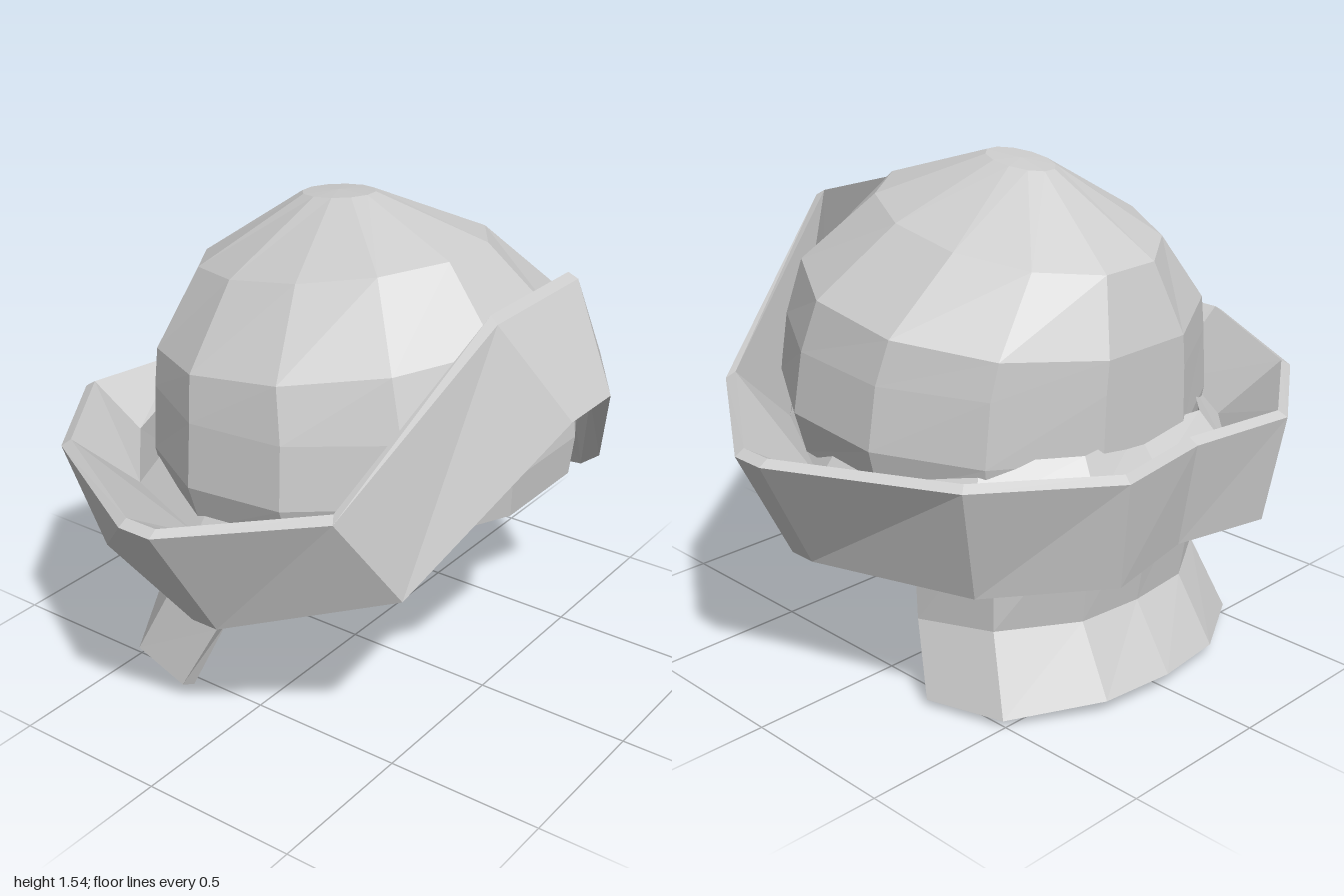
import * as THREE from 'three';

const material = new THREE.MeshStandardMaterial({ color: 0xcccccc, flatShading: true });

// Faceted skin over a grid of points (rows of [x, y, z])
function skin(out, rows, wrapRows, wrapCols) {
  const n = rows.length, m = rows[0].length;
  for (let i = 0; i < (wrapRows ? n : n - 1); i++) {
    for (let j = 0; j < (wrapCols ? m : m - 1); j++) {
      const p = rows[i], q = rows[(i + 1) % n], k = (j + 1) % m;
      out.push(...p[j], ...p[k], ...q[k], ...p[j], ...q[k], ...q[j]);
    }
  }
}

function part(name, positions) {
  const g = new THREE.BufferGeometry();
  g.setAttribute('position', new THREE.Float32BufferAttribute(positions, 3));
  g.computeVertexNormals();
  const mesh = new THREE.Mesh(g, material);
  mesh.name = name;
  return mesh;
}

// Mirror a half row that runs from +x to the centre line
const mirror = (half) => [
  ...half,
  ...half.filter((p) => p[0] > 0).reverse().map(([x, y, z]) => [-x, y, z]),
];

// Move points toward a vertical axis at z = cz, and by dy in height
const inset = (row, d, dy, cz = 0) => row.map(([x, y, z]) => {
  const r = Math.hypot(x, z - cz), s = (r - d) / r;
  return [x * s, y + dy, cz + (z - cz) * s];
});

// Twelve-sided dome ring, tilted between front and back heights
function domeRing([yFront, yBack, rx, zFront, zBack], shrink = 0) {
  const row = [];
  const k = 1 / Math.cos(Math.PI / 12);
  const mid = (zFront + zBack) / 2;
  const rz = Math.max((zFront - zBack) / 2 - shrink, 0.02);
  const w = Math.max(rx - shrink, 0.02);
  for (let i = 0; i < 12; i++) {
    const a = ((i + 0.5) / 12) * Math.PI * 2;
    const c = Math.cos(a) * k;
    const y = yBack + (yFront - yBack) * (c + 1) / 2;
    row.push([w * k * Math.sin(a), y, mid + rz * c]);
  }
  return row;
}

function buildDome() {
  const rings = [
    [0.74, 0.6, 0.62, 0.67, -0.55],
    [0.86, 0.76, 0.66, 0.68, -0.57],
    [1.04, 0.96, 0.635, 0.66, -0.57],
    [1.23, 1.06, 0.6, 0.6, -0.57],
    [1.43, 1.28, 0.38, 0.4, -0.5],
    [1.54, 1.51, 0.08, 0.06, -0.18],
  ];
  const outer = rings.map((r) => domeRing(r));
  const inner = rings.map((r) => domeRing(r, 0.05).map(([x, y, z]) => [x, y - 0.03, z]));
  const cap = (y) => Array(12).fill([0, y, -0.06]);
  const out = [];
  skin(out, [cap(1.49), ...inner.reverse(), ...outer, cap(1.53)], false, true);
  return part('domeCrown', out);
}

function buildBrim() {
  // Upper and lower outer edges, then the trough floor, front to back
  const top = mirror([
    [0.22, 1.335, 0.635], [0.73, 0.89, 0.46], [1.0, 0.835, 0.05], [1.0, 0.835, -0.06],
    [0.72, 0.825, -0.56], [0.35, 0.82, -0.82], [0, 0.815, -0.765],
  ]);
  const bottom = mirror([
    [0.11, 1.055, 0.82], [0.56, 0.61, 0.57], [0.79, 0.46, 0.09], [0.79, 0.46, 0],
    [0.62, 0.46, -0.5], [0.32, 0.485, -0.77], [0, 0.49, -0.71],
  ]);
  const floor = mirror([
    [0.11, 1.04, 0.75], [0.46, 0.68, 0.51], [0.68, 0.66, 0.09], [0.67, 0.66, -0.08],
    [0.54, 0.67, -0.42], [0.29, 0.69, -0.65], [0, 0.69, -0.63],
  ]);
  const rows = [
    bottom, top, inset(top, 0.03, 0.018), floor,
    inset(floor, 0.09, 0.11), inset(bottom, 0.14, 0.12), inset(bottom, 0.06, -0.025),
  ];
  const out = [];
  skin(out, rows, true, true);
  return part('upturnedBrim', out);
}

function buildNeckGuard() {
  const outer = [
    [[0.58, 0.02, -0.25], [0.51, 0.025, -0.5], [0.24, 0.045, -0.66], [0, 0.05, -0.69]],
    [[0.52, 0.23, -0.15], [0.45, 0.255, -0.4], [0.22, 0.255, -0.54], [0, 0.255, -0.56]],
    [[0.55, 0.58, -0.17], [0.46, 0.61, -0.41], [0.24, 0.63, -0.59], [0, 0.63, -0.62]],
  ].map(mirror);
  const inner = outer.map((row, i) => inset(row, 0.045, i === 0 ? -0.02 : 0, -0.15));
  const out = [];
  skin(out, [...outer, ...[...inner].reverse()], true, false);
  // Closed front ends
  const last = outer[0].length - 1;
  skin(out, outer.map((r, i) => [inner[i][0], r[0]]), false, false);
  skin(out, outer.map((r, i) => [r[last], inner[i][last]]), false, false);
  return part('neckGuard', out);
}

export function createModel() {
  const hat = new THREE.Group();
  hat.name = 'hat';
  hat.add(buildDome(), buildBrim(), buildNeckGuard());
  return hat;
}
